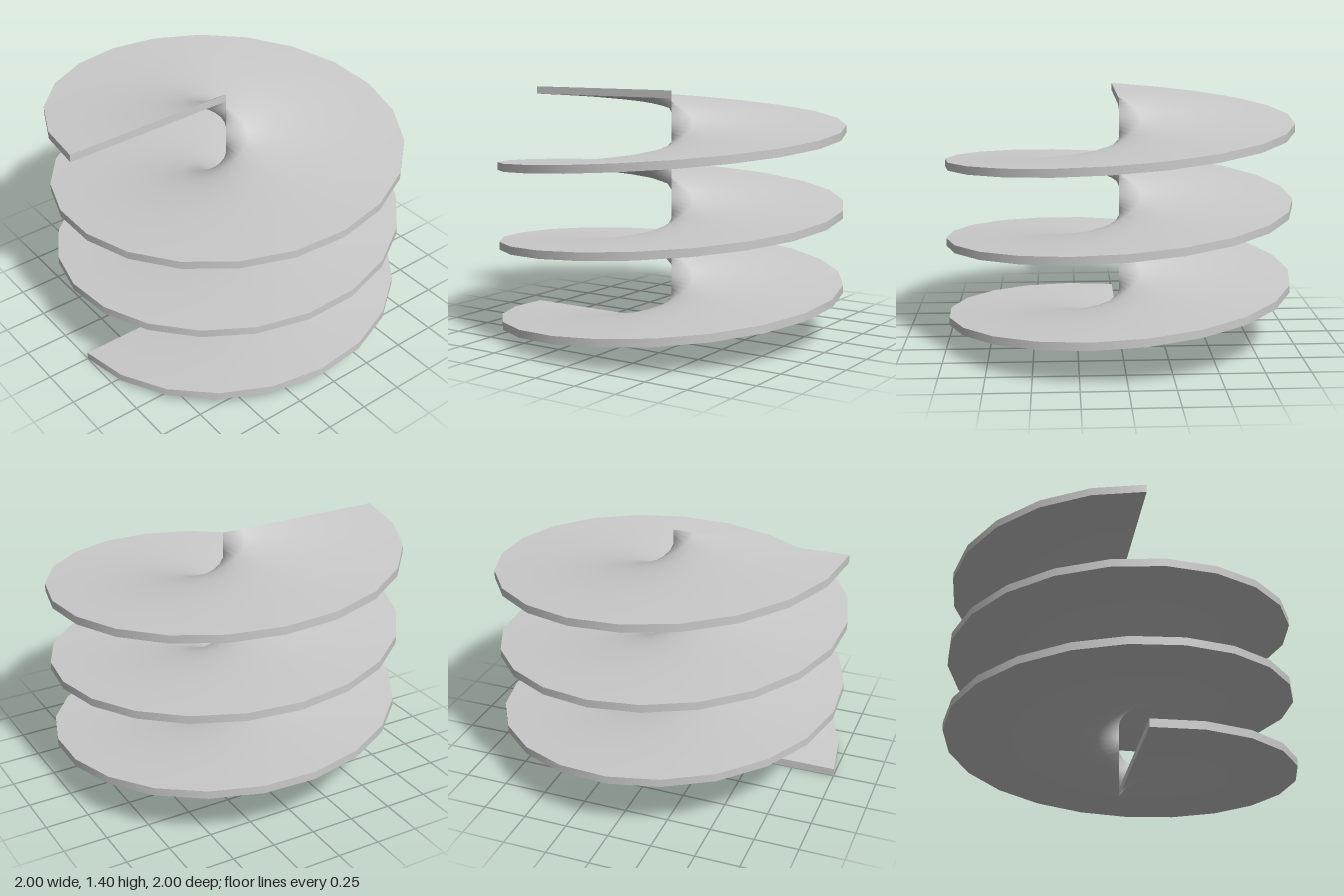
import * as THREE from 'three';
import { ParametricGeometry } from 'three/addons/geometries/ParametricGeometry.js';

const TURNS = 3, STEPS = 64, RINGS = 8;
const RADIUS = 1, HEIGHT = 1.4, THICK = 0.045;

// Point on the helical slab: r = radius, t = 0..1 along the sweep, h = height within the slab
function helix(r, t, h, target) {
  const a = t * TURNS * Math.PI * 2;
  target.set(r * Math.sin(a), t * (HEIGHT - THICK) + h, r * Math.cos(a));
}

export function createModel() {
  const group = new THREE.Group();
  group.name = 'helicalScrew';
  const material = new THREE.MeshStandardMaterial({ color: 0xcccccc });

  function addSurface(name, fn, slices, stacks) {
    const mesh = new THREE.Mesh(new ParametricGeometry(fn, slices, stacks), material);
    mesh.name = name;
    group.add(mesh);
  }

  // Spiral faces and outer rim
  addSurface('topFace', (u, v, p) => helix(u * RADIUS, v, THICK, p), RINGS, STEPS);
  addSurface('bottomFace', (u, v, p) => helix((1 - u) * RADIUS, v, 0, p), RINGS, STEPS);
  addSurface('outerRim', (u, v, p) => helix(RADIUS, v, (1 - u) * THICK, p), 1, STEPS);

  // Flat end caps at the start and finish of the sweep
  addSurface('lowerEnd', (u, v, p) => helix(u * RADIUS, 0, v * THICK, p), 1, 1);
  addSurface('upperEnd', (u, v, p) => helix((1 - u) * RADIUS, 1, v * THICK, p), 1, 1);

  return group;
}
